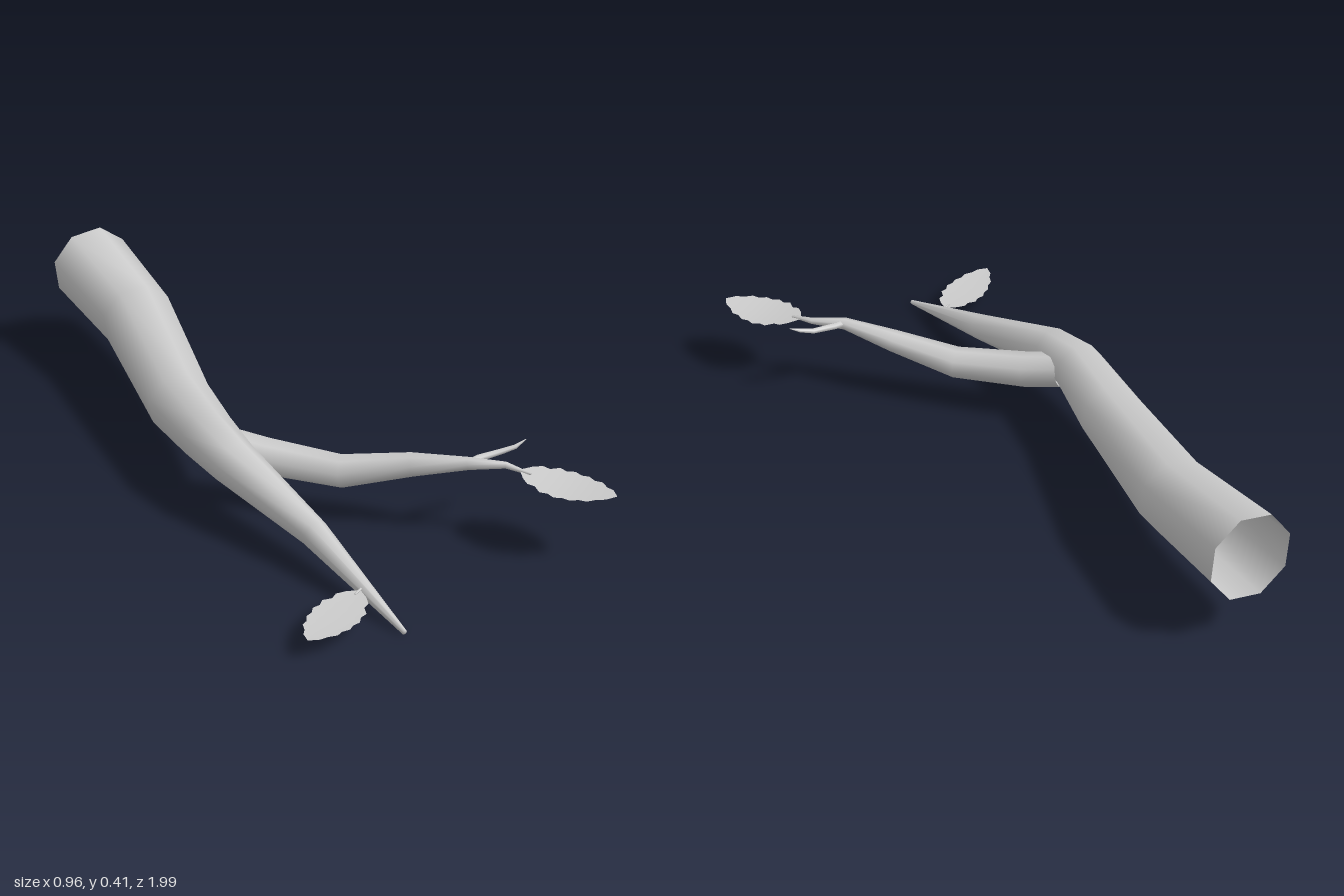
import * as THREE from 'three';

const material = new THREE.MeshStandardMaterial({ color: 0xcccccc, side: THREE.DoubleSide });

function makeMesh(name, positions, indices) {
  const geometry = new THREE.BufferGeometry();
  geometry.setAttribute('position', new THREE.Float32BufferAttribute(positions, 3));
  geometry.setIndex(indices);
  geometry.computeVertexNormals();
  const mesh = new THREE.Mesh(geometry, material);
  mesh.name = name;
  return mesh;
}

// Tapered limb: rings of [x, y, z, radius] set square to the path, open at the start
function limb(name, rings, sides = 8, turn = 0.54) {
  const centres = rings.map(r => new THREE.Vector3(r[0], r[1], r[2]));
  const up = new THREE.Vector3(0, 1, 0);
  const positions = [], indices = [];
  rings.forEach((ring, i) => {
    const before = centres[Math.max(i - 1, 0)];
    const after = centres[Math.min(i + 1, rings.length - 1)];
    const along = after.clone().sub(before).normalize();
    const side = up.clone().cross(along).normalize();
    const top = along.clone().cross(side);
    for (let j = 0; j < sides; j++) {
      const a = turn + (j / sides) * Math.PI * 2;
      const p = centres[i].clone()
        .addScaledVector(side, Math.cos(a) * ring[3])
        .addScaledVector(top, Math.sin(a) * ring[3]);
      positions.push(p.x, p.y, p.z);
      if (i === 0) continue;
      const k = (j + 1) % sides, lo = (i - 1) * sides, hi = i * sides;
      indices.push(lo + j, lo + k, hi + j, lo + k, hi + k, hi + j);
    }
  });
  // close the thin end
  const last = (rings.length - 1) * sides;
  for (let j = 1; j < sides - 1; j++) indices.push(last, last + j, last + j + 1);
  return makeMesh(name, positions, indices);
}

// Thin scalloped leaf, sagging between its base and tip
function leaf(name, base, tip, halfWidth, sag) {
  const a = new THREE.Vector3(...base), b = new THREE.Vector3(...tip);
  const side = new THREE.Vector3(0, 1, 0).cross(b.clone().sub(a)).normalize();
  const outline = [0.05, 0.45, 0.7, 0.68, 0.95, 0.87, 1, 0.88, 0.92, 0.74, 0.74, 0.48, 0.36, 0];
  const positions = [], indices = [];
  outline.forEach((w, i) => {
    const t = i / (outline.length - 1);
    const mid = a.clone().lerp(b, t);
    mid.y -= sag * Math.sin(Math.PI * t);
    for (const s of [-1, 0, 1]) {
      const p = mid.clone().addScaledVector(side, s * w * halfWidth);
      positions.push(p.x, p.y + Math.abs(s) * w * 0.003, p.z);
    }
    if (i === 0) return;
    for (let k = 0; k < 2; k++) {
      const lo = (i - 1) * 3 + k, hi = i * 3 + k;
      indices.push(lo, hi, lo + 1, lo + 1, hi, hi + 1);
    }
  });
  return makeMesh(name, positions, indices);
}

export function createModel() {
  const model = new THREE.Group();
  model.name = 'branch';

  // main limb, hollow at the thick back end
  model.add(limb('mainLimb', [
    [-0.23, 0.29, -0.98, 0.13],
    [-0.23, 0.248, -0.61, 0.115],
    [-0.315, 0.195, -0.12, 0.098],
    [-0.342, 0.21, 0.12, 0.082],
    [-0.333, 0.193, 0.27, 0.07],
    [-0.255, 0.115, 0.6, 0.041],
    [-0.2, 0.008, 0.995, 0.007],
  ]));

  // side branch
  model.add(limb('sideBranch', [
    [-0.3, 0.19, 0.17, 0.055],
    [-0.22, 0.172, 0.245, 0.055],
    [-0.06, 0.158, 0.4, 0.049],
    [0.09, 0.207, 0.535, 0.035],
    [0.2, 0.238, 0.65, 0.019],
    [0.285, 0.24, 0.71, 0.01],
    [0.325, 0.233, 0.775, 0.004],
  ]));

  // small twig forking off the side branch
  model.add(limb('twig', [
    [0.19, 0.238, 0.652, 0.012],
    [0.24, 0.243, 0.645, 0.011],
    [0.31, 0.246, 0.647, 0.009],
    [0.35, 0.255, 0.656, 0.007],
    [0.384, 0.271, 0.657, 0.001],
  ], 6));

  // leaves and the short stalk on the main limb
  model.add(limb('leafStalk', [
    [-0.22, 0.062, 0.82, 0.005],
    [-0.265, 0.062, 0.845, 0.003],
  ], 5));
  model.add(leaf('sideLeaf', [0.31, 0.236, 0.745], [0.467, 0.229, 0.98], 0.08, 0.011));
  model.add(leaf('mainLeaf', [-0.245, 0.061, 0.835], [-0.482, 0.066, 0.985], 0.07, 0.009));

  return model;
}
